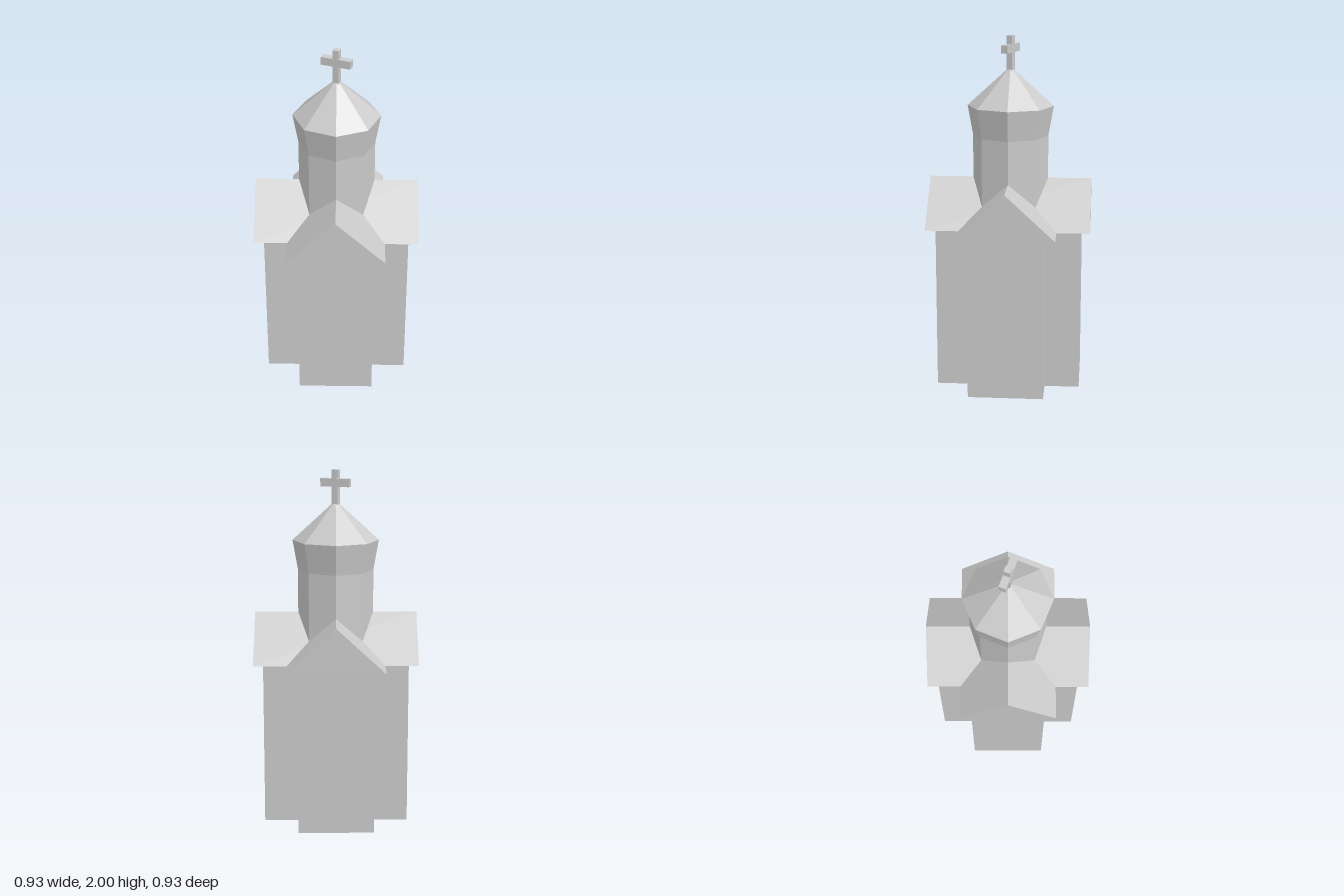
import * as THREE from 'three';

export function createModel() {
  const group = new THREE.Group();
  const material = new THREE.MeshStandardMaterial({
    color: 0xcccccc, flatShading: true, side: THREE.DoubleSide,
  });
  const add = (name, geometry, parent = group) => {
    const mesh = new THREE.Mesh(geometry, material);
    mesh.name = name;
    parent.add(mesh);
    return mesh;
  };

  const wallHalf = 0.213, wallReach = 0.41, eaveY = 0.935;
  const roofHalf = 0.275, roofReach = 0.463, ridgeY = 1.19;

  // Two crossing naves: open-bottomed walls under a gabled roof
  const corners = [[-1, -1], [-1, 1], [1, 1], [1, -1]];
  for (const [name, turn] of [['longNave', 0], ['crossNave', Math.PI / 2]]) {
    const nave = new THREE.Group();
    nave.name = name;
    nave.rotation.y = turn;
    group.add(nave);

    const positions = [], index = [];
    corners.forEach(([x, z], i) => {
      positions.push(x * wallHalf, 0, z * wallReach, x * wallHalf, eaveY, z * wallReach);
      const a = i * 2, b = ((i + 1) % 4) * 2;
      index.push(a, b, b + 1, a, b + 1, a + 1);
    });
    const walls = new THREE.BufferGeometry();
    walls.setAttribute('position', new THREE.Float32BufferAttribute(positions, 3));
    walls.setIndex(index);
    const wallFaces = walls.toNonIndexed();
    wallFaces.computeVertexNormals();
    add('walls', wallFaces, nave);

    const gable = new THREE.Shape([
      new THREE.Vector2(-roofHalf, eaveY),
      new THREE.Vector2(roofHalf, eaveY),
      new THREE.Vector2(0, ridgeY),
    ]);
    const roof = new THREE.ExtrudeGeometry(gable, { depth: roofReach * 2, bevelEnabled: false });
    add('gableRoof', roof.translate(0, 0, -roofReach), nave);
  }

  // Eight-sided tower stacked from drum, flared collar and pointed roof
  const ring = (name, rTop, rBottom, y0, y1) => {
    const g = new THREE.CylinderGeometry(rTop, rBottom, y1 - y0, 8, 1, true);
    add(name, g.translate(0, (y0 + y1) / 2, 0));
  };
  ring('towerDrum', 0.215, 0.215, 0.94, 1.435);
  ring('towerCollar', 0.245, 0.215, 1.435, 1.605);
  ring('towerRoof', 0.02, 0.245, 1.605, 1.81);

  // Cross on top, turned slightly off the building's axes
  const cross = new THREE.Group();
  cross.name = 'cross';
  cross.rotation.y = -0.36;
  group.add(cross);
  add('crossPost', new THREE.BoxGeometry(0.036, 0.2, 0.036).translate(0, 1.9, 0), cross);
  add('crossBar', new THREE.BoxGeometry(0.17, 0.045, 0.04).translate(0, 1.928, 0), cross);

  return group;
}
